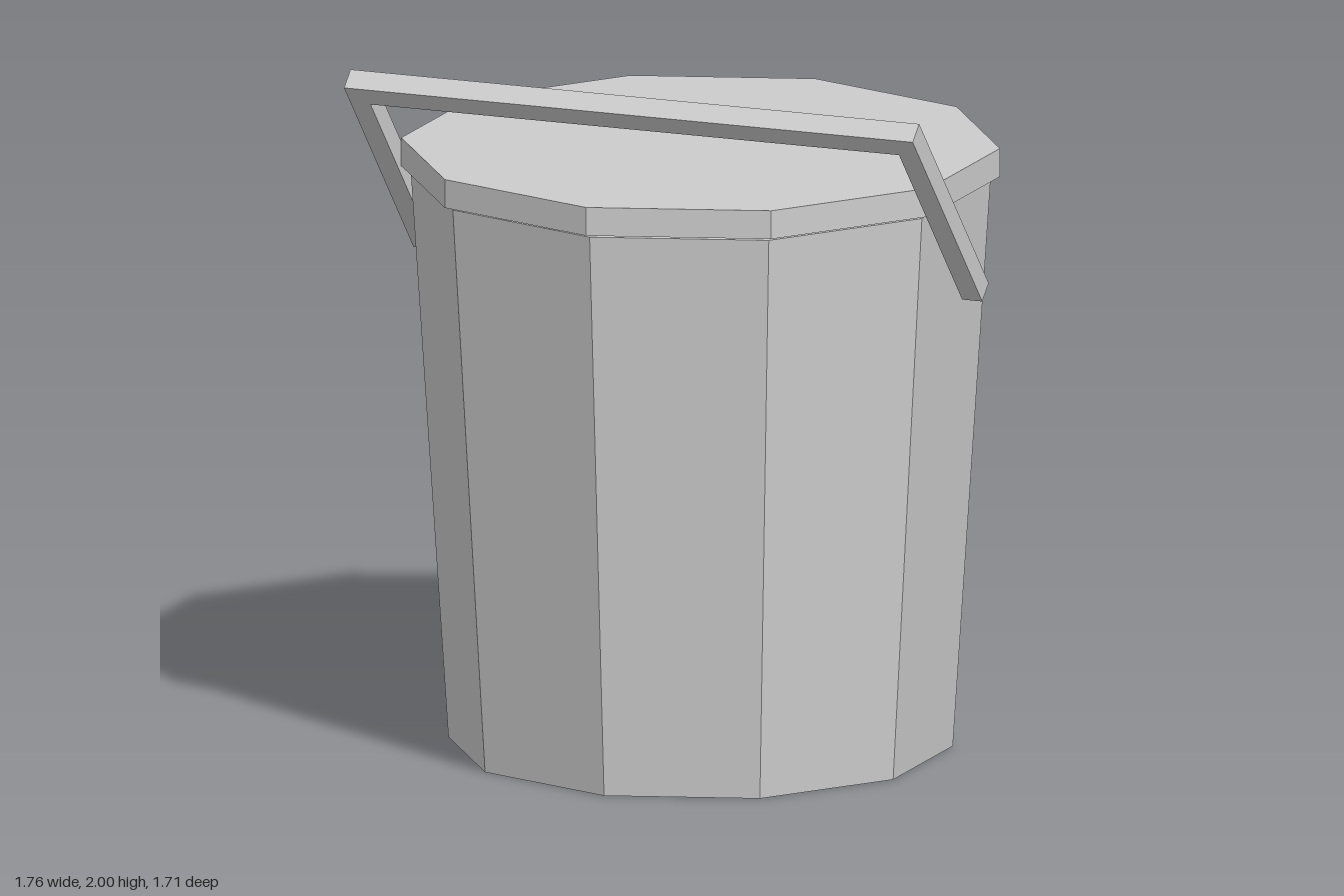
import * as THREE from 'three';

export function createModel() {
  const group = new THREE.Group();
  const grey = new THREE.MeshStandardMaterial({ color: 0xcccccc, flatShading: true });
  grey.name = 'lightGrey';

  const add = (parent, name, geometry, x, y, z) => {
    const mesh = new THREE.Mesh(geometry, grey);
    mesh.name = name;
    mesh.position.set(x, y, z);
    parent.add(mesh);
  };

  // Ten-sided tapered bucket and its overhanging lid
  add(group, 'bucketBody', new THREE.CylinderGeometry(0.83, 0.722, 1.663, 10), 0, 0.8315, 0);
  add(group, 'lid', new THREE.CylinderGeometry(0.857, 0.857, 0.083, 10), 0, 1.7145, 0);

  // Square-section handle, tilted towards the front
  const width = 1.756, length = 0.78, bar = 0.072, arm = 0.062, depth = 0.065;
  const handle = new THREE.Group();
  handle.name = 'handle';
  handle.position.set(0, 1.688, 0.256);
  handle.rotation.x = THREE.MathUtils.degToRad(41.8);
  add(handle, 'handleGrip', new THREE.BoxGeometry(width, bar, depth), 0, (length - bar) / 2, 0);
  for (const side of [1, -1]) {
    add(handle, side > 0 ? 'leftHandleArm' : 'rightHandleArm',
      new THREE.BoxGeometry(arm, length - bar, depth), side * (width - arm) / 2, -bar / 2, 0);
  }
  group.add(handle);

  return group;
}
